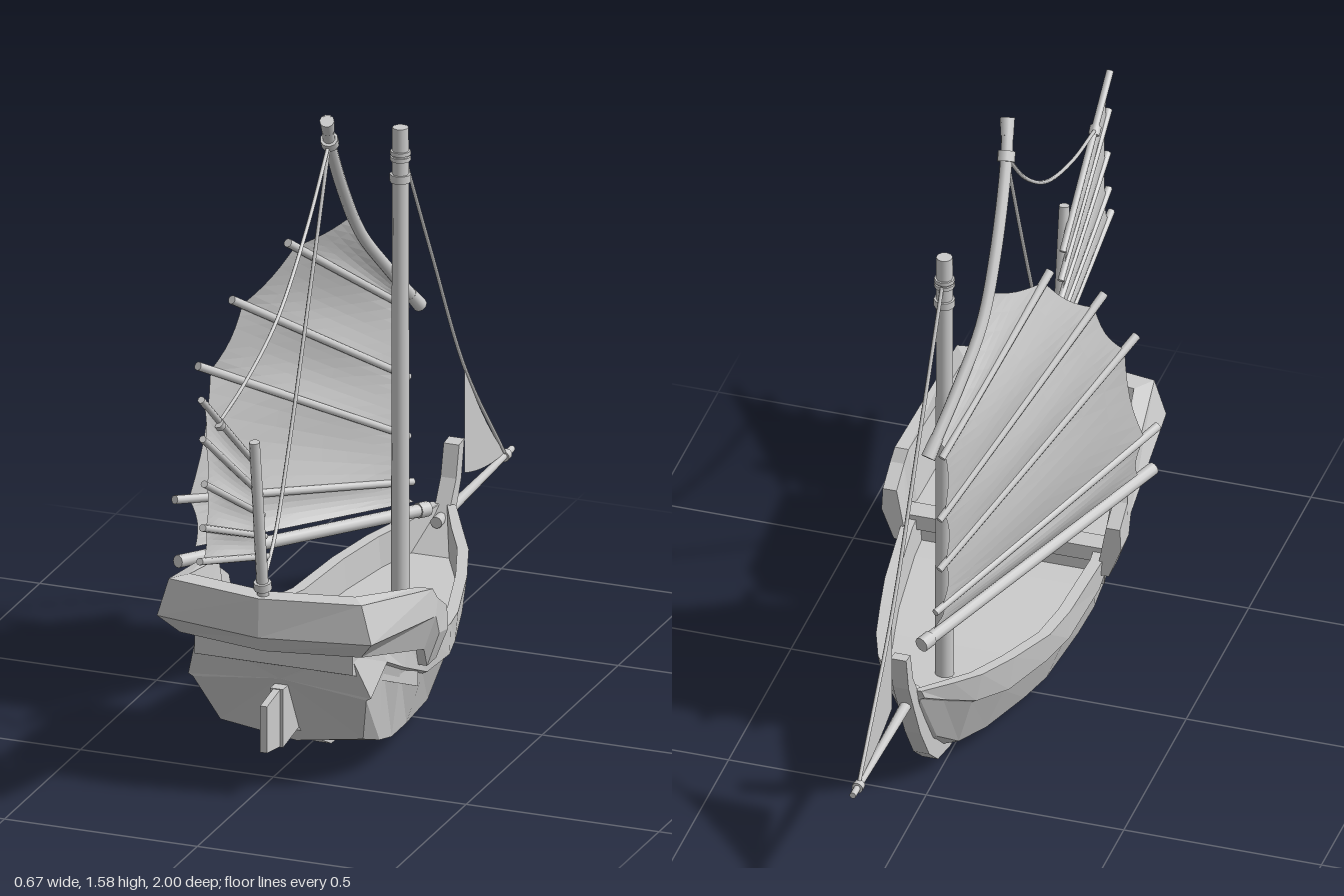
import * as THREE from 'three';

const CX = 0.028; // hull centre line
const smooth = new THREE.MeshStandardMaterial({ color: 0xcccccc, side: THREE.DoubleSide });
const flat = new THREE.MeshStandardMaterial({ color: 0xcccccc, side: THREE.DoubleSide, flatShading: true });
const V = (x, y, z) => new THREE.Vector3(x, y, z);
const mirrorX = (p) => V(-p.x, p.y, p.z);

export function createModel() {
  const model = new THREE.Group();
  model.name = 'sailingBoat';

  const add = (name, geometry, material = smooth, x = 0) => {
    const mesh = new THREE.Mesh(geometry, material);
    mesh.name = name;
    mesh.position.x = x;
    model.add(mesh);
    return mesh;
  };

  // Skin between rows of points; ring closes each row, and ends are capped
  function loft(rows, ring) {
    const pos = [];
    const tri = (...ps) => ps.forEach((p) => pos.push(p.x, p.y, p.z));
    const n = rows[0].length;
    for (let i = 0; i + 1 < rows.length; i++) {
      for (let j = 0; j < (ring ? n : n - 1); j++) {
        const k = (j + 1) % n;
        const [a, b, c, d] = [rows[i][j], rows[i][k], rows[i + 1][k], rows[i + 1][j]];
        tri(a, b, c);
        tri(a, c, d);
      }
    }
    if (ring) {
      [rows[0], rows[rows.length - 1]].forEach((row, end) => {
        const mid = row.reduce((s, p) => s.add(p), V(0, 0, 0)).divideScalar(n);
        row.forEach((p, j) => {
          const q = row[(j + 1) % n];
          end ? tri(mid, p, q) : tri(mid, q, p);
        });
      });
    }
    const g = new THREE.BufferGeometry();
    g.setAttribute('position', new THREE.Float32BufferAttribute(pos, 3));
    g.computeVertexNormals();
    return g;
  }

  // Straight spar from a to b
  function rod(name, a, b, ra, rb = ra) {
    const dir = b.clone().sub(a);
    const mesh = add(name, new THREE.CylinderGeometry(rb, ra, dir.length(), 10));
    mesh.position.copy(a).addScaledVector(dir, 0.5);
    mesh.quaternion.setFromUnitVectors(V(0, 1, 0), dir.normalize());
  }

  const tube = (name, pts, r, seg = 28, sides = 6) =>
    add(name, new THREE.TubeGeometry(new THREE.CatmullRomCurve3(pts), seg, r, sides));

  // Side outline (z, y) given a thickness across the boat
  function sidePlate(name, pts, width, x = CX) {
    const shape = new THREE.Shape(pts.map(([z, y]) => new THREE.Vector2(-z, y)));
    const g = new THREE.ExtrudeGeometry(shape, { depth: width, bevelEnabled: false });
    g.rotateY(Math.PI / 2).translate(x - width / 2, 0, 0);
    add(name, g, flat);
  }

  // Hull stations: z, y, half width of rail and wale and chine, then z, y of bottom
  const stations = [
    [0.57, 0.37, 0.2, 0.53, 0.25, 0.225, 0.45, 0.11, 0.185, 0.42, 0.07],
    [0.45, 0.355, 0.23, 0.43, 0.31, 0.228, 0.38, 0.085, 0.2, 0.36, 0.05],
    [0.33, 0.32, 0.25, 0.34, 0.265, 0.238, 0.3, 0.065, 0.2, 0.3, 0.035],
    [0.19, 0.28, 0.255, 0.19, 0.2, 0.237, 0.19, 0.06, 0.195, 0.19, 0.03],
    [0, 0.255, 0.235, 0, 0.175, 0.22, 0, 0.05, 0.175, 0, 0.025],
    [-0.1, 0.247, 0.215, -0.1, 0.17, 0.195, -0.1, 0.05, 0.15, -0.1, 0.025],
    [-0.26, 0.275, 0.175, -0.26, 0.18, 0.15, -0.25, 0.05, 0.1, -0.25, 0.025],
    [-0.38, 0.295, 0.132, -0.38, 0.215, 0.105, -0.34, 0.06, 0.06, -0.33, 0.03],
    [-0.46, 0.312, 0.085, -0.46, 0.26, 0.06, -0.42, 0.12, 0.03, -0.41, 0.09],
    [-0.55, 0.335, 0.032, -0.54, 0.31, 0.025, -0.52, 0.26, 0.015, -0.51, 0.24],
  ];
  const hullRows = stations.map(([zg, yg, hg, zw, yw, hw, zc, yc, hc, zb, yb], i) => {
    const deck = i === 0 || i === stations.length - 1 ? yg - 0.002 : yg - 0.08;
    const side = [
      V(Math.max(hg - 0.036, 0.006), deck, zg), V(Math.max(hg - 0.03, 0.008), yg, zg), V(hg, yg, zg),
      V(hw + 0.012, yw, zw), V(hw, yw - 0.006, zw), V(hc, yc, zc),
    ];
    return [...side, V(0, yb, zb), ...side.map(mirrorX).reverse()];
  });
  add('hull', loft(hullRows, true), flat, CX);

  // Keel sweeping up into the stem post
  sidePlate('keelAndStem', [
    [0.45, 0.11], [0.33, 0.045], [0.24, 0], [-0.28, 0], [-0.38, 0.025], [-0.45, 0.085], [-0.52, 0.19], [-0.575, 0.3],
    [-0.615, 0.38], [-0.635, 0.475], [-0.6, 0.47], [-0.58, 0.39], [-0.53, 0.31], [-0.44, 0.15], [-0.34, 0.06], [0.3, 0.06], [0.4, 0.13],
  ], 0.04);

  // Rudder
  sidePlate('rudderStock', [[0.55, 0.25], [0.55, 0.1], [0.42, 0.12], [0.5, 0.25]], 0.034);
  sidePlate('rudderBlade', [[0.635, 0.235], [0.635, 0.115], [0.54, 0.1], [0.54, 0.25]], 0.018);

  // Raised stern bulwark, a U round the stern
  const ring = (z, pts) => pts.map(([h, y, zz]) => V(h, y, zz ?? z));
  const half = [
    ring(0.19, [[0.3, 0.38], [0.303, 0.32], [0.272, 0.24], [0.24, 0.24], [0.265, 0.38]]),
    ring(0.25, [[0.3, 0.42], [0.304, 0.33], [0.272, 0.24], [0.24, 0.24], [0.265, 0.42]]),
    ring(0.27, [[0.295, 0.45], [0.303, 0.38], [0.272, 0.29], [0.235, 0.29], [0.26, 0.45]]),
    ring(0.6, [[0.25, 0.527, 0.625], [0.278, 0.43, 0.632], [0.235, 0.378, 0.59], [0.2, 0.378, 0.55], [0.214, 0.527, 0.575]]),
  ];
  const sternMid = ring(0.65, [[0, 0.525, 0.668], [0, 0.425, 0.672], [0, 0.38, 0.64], [0, 0.38, 0.57], [0, 0.525, 0.612]]);
  const portHalf = half.map((r) => r.map(mirrorX)).reverse();
  add('sternBulwark', loft([...half, sternMid, ...portHalf], true), flat, CX);

  // Quarterdeck with its forward beam
  const slab = (z, h, top, low) => [V(h, top, z), V(-h, top, z), V(-h, low, z), V(h, low, z)];
  add('quarterdeck', loft([slab(0.24, 0.245, 0.3, 0.18), slab(0.57, 0.205, 0.39, 0.32)], true), flat, CX);
  add('deckBeam', loft([slab(0.215, 0.25, 0.3, 0.26), slab(0.25, 0.25, 0.315, 0.26)], true), flat, CX);

  // Main mast and collars
  const mastZ = -0.265;
  rod('mainMast', V(CX, 0.19, mastZ), V(CX, 1.41, mastZ), 0.023, 0.02);
  [[1.27, 1.29, 0.026], [1.325, 1.335, 0.025], [1.34, 1.35, 0.025]].forEach(([a, b, r]) =>
    rod('mastCollar', V(CX, a, mastZ), V(CX, b, mastZ), r));

  // Curved yard
  const yard = [V(-0.005, 1.565, 0.135), V(-0.02, 1.49, 0.08), V(-0.036, 1.3, -0.06), V(-0.034, 1.16, -0.165), V(-0.008, 1.04, -0.27), V(0.03, 0.905, -0.39)];
  tube('yard', yard, 0.015, 30, 10);
  rod('yardTip', yard[0], V(-0.012, 1.53, 0.11), 0.018, 0.016);
  rod('yardFoot', yard[5], V(0.018, 0.945, -0.355), 0.018, 0.016);
  rod('yardKnot', V(-0.018, 1.5, 0.088), V(-0.021, 1.48, 0.072), 0.022);

  // Fanned sail: each row runs from luff to leech, with scalloped edges between battens
  function sail(name, lines, bulge, scallop) {
    const rows = [];
    for (let i = 0; i + 1 < lines.length; i++) {
      for (let s = i ? 1 : 0; s <= 6; s++) {
        const w = Math.sin((Math.PI * s) / 6);
        const a = lines[i][0].clone().lerp(lines[i + 1][0], s / 6);
        const b = lines[i][1].clone().lerp(lines[i + 1][1], s / 6);
        rows.push(Array.from({ length: 9 }, (_, j) => {
          const t = scallop * w + (1 - 2 * scallop * w) * (j / 8);
          const p = a.clone().lerp(b, t);
          p.x -= bulge * w * Math.sin(Math.PI * t);
          return p;
        }));
      }
    }
    add(name, loft(rows, false));
  }
  const inset = ([a, b], u, v) => [a.clone().lerp(b, u), a.clone().lerp(b, v)];

  // Main sail
  const battens = [
    [V(0.0, 0.9, -0.375), V(-0.14, 1.2, 0.05)],
    [V(0.005, 0.72, -0.378), V(-0.24, 1.08, 0.165)],
    [V(0.008, 0.57, -0.37), V(-0.3, 0.925, 0.235)],
    [V(0.015, 0.45, -0.38), V(-0.325, 0.608, 0.325)],
  ];
  const boom = [V(0.04, 0.372, -0.412), V(-0.305, 0.462, 0.355)];
  battens.forEach(([a, b]) => rod('mainBatten', a, b, 0.009, 0.011));
  rod('boom', boom[0], boom[1], 0.016);
  rod('boomCollar', boom[0], boom[0].clone().lerp(boom[1], 0.04), 0.019);
  sail('mainSail', [
    [V(0.02, 0.93, -0.37), V(-0.045, 1.22, -0.11)],
    ...battens.map((l) => inset(l, 0.03, 0.94)),
    [V(0.02, 0.4, -0.375), V(-0.285, 0.48, 0.29)],
  ], 0.012, 0.025);

  // Mizzen mast and sail
  rod('mizzenMast', V(CX, 0.5, 0.635), V(CX, 0.94, 0.695), 0.015, 0.013);
  rod('mizzenCollar', V(CX, 0.54, 0.64), V(CX, 0.56, 0.643), 0.022);
  const mizzen = [
    [0.85, 0.63, 1.15, 0.985], [0.775, 0.615, 1.045, 0.975], [0.715, 0.6, 0.925, 0.965],
    [0.655, 0.585, 0.815, 0.975], [0.595, 0.562, 0.735, 0.995],
  ].map(([y0, z0, y1, z1]) => [V(0.012, y0, z0), V(0.004, y1, z1)]);
  mizzen.forEach(([a, b]) => rod('mizzenBatten', a, b, 0.008, 0.009));
  sail('mizzenSail', mizzen.map((l) => inset(l, 0.06, 0.95)), 0.008, 0.04);
  rod('mizzenKnot', V(0.007, 1.04, 0.865), V(0.007, 1.055, 0.882), 0.014);

  // Bowsprit and small head sail
  rod('bowsprit', V(CX, 0.302, -0.5), V(CX, 0.315, -1), 0.015, 0.008);
  rod('bowspritKnot', V(CX, 0.313, -0.945), V(CX, 0.314, -0.965), 0.014);
  const jib = new THREE.Shape();
  jib.moveTo(0.685, 0.64);
  jib.quadraticCurveTo(0.8, 0.46, 0.95, 0.322);
  jib.quadraticCurveTo(0.82, 0.32, 0.685, 0.365);
  jib.lineTo(0.685, 0.64);
  add('headSail', new THREE.ShapeGeometry(jib).rotateY(Math.PI / 2), smooth, CX);

  // Rigging ropes
  const top = V(-0.02, 1.49, 0.08);
  tube('sternStay', [top, V(-0.015, 1.32, 0.245), V(-0.005, 1.17, 0.46), V(0, 1.09, 0.675), V(0.006, 1.05, 0.875)], 0.005);
  tube('yardSheet', [top, V(-0.012, 1.115, 0.245), V(0, 0.8, 0.405), V(0.012, 0.64, 0.515), V(CX, 0.55, 0.64)], 0.005);
  tube('foreStay', [V(CX, 1.335, -0.285), V(CX, 1.0, -0.475), V(CX, 0.64, -0.685), V(CX, 0.318, -0.952)], 0.005);

  return model;
}
